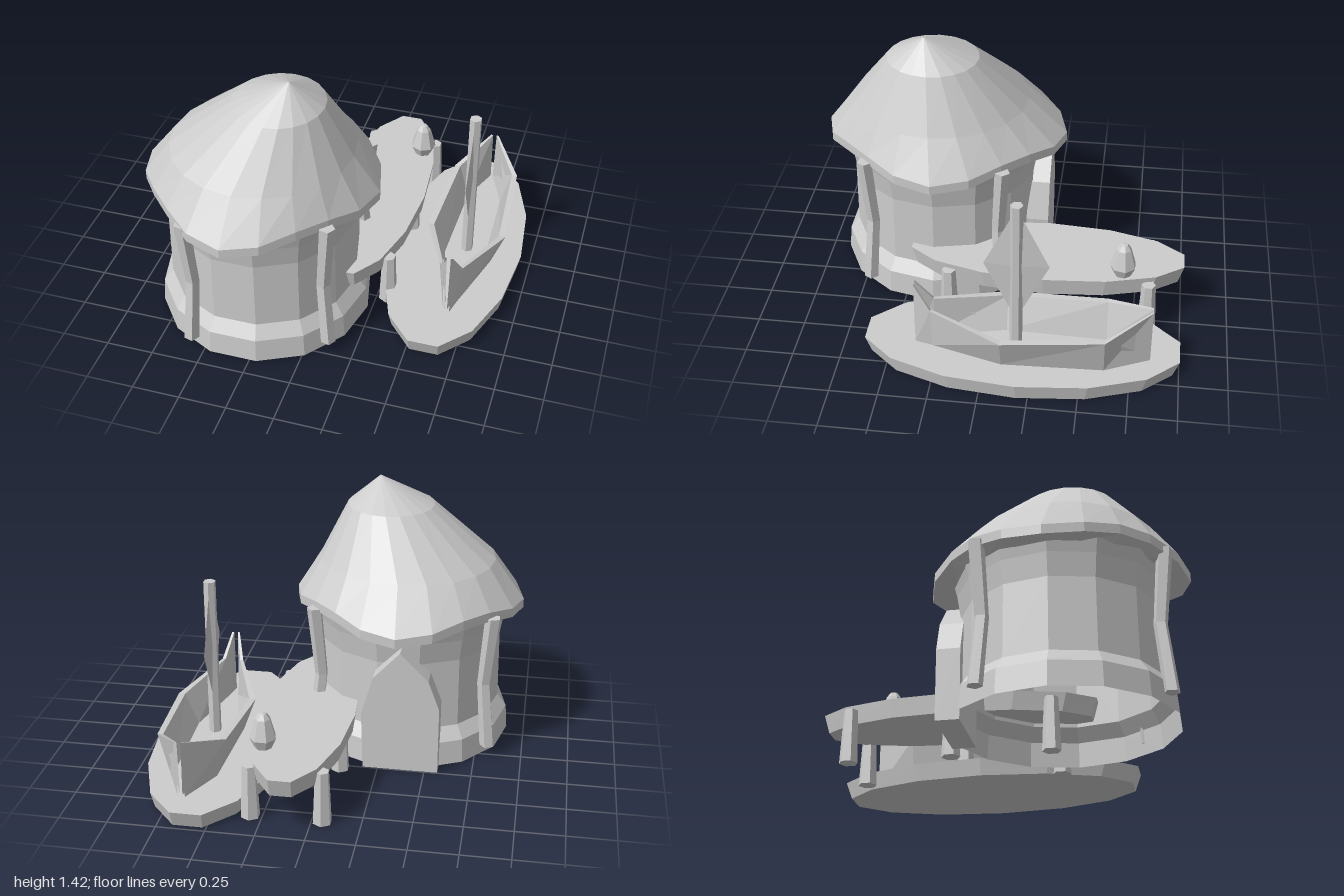
import * as THREE from 'three';

export function createModel() {
  const model = new THREE.Group();
  const clay = new THREE.MeshStandardMaterial({ color: 0xcccccc, flatShading: true, side: THREE.DoubleSide });
  clay.name = 'plain grey';

  const add = (name, geo, x = 0, y = 0, z = 0) => {
    const m = new THREE.Mesh(geo, clay);
    m.name = name;
    m.position.set(x, y, z);
    model.add(m);
    return m;
  };

  // Skin a stack of rings of [x, y, z] points, bottom to top
  const loft = (rings, capBottom = false, capTop = false) => {
    const n = rings[0].length, pos = [], idx = [];
    rings.forEach(r => r.forEach(p => pos.push(...p)));
    for (let k = 0; k < rings.length - 1; k++) {
      for (let i = 0; i < n; i++) {
        const a = k * n + i, b = k * n + (i + 1) % n;
        idx.push(a, b, b + n, a, b + n, a + n);
      }
    }
    const top = (rings.length - 1) * n;
    for (let i = 1; i < n - 1; i++) {
      if (capBottom) idx.push(0, i + 1, i);
      if (capTop) idx.push(top, top + i, top + i + 1);
    }
    const g = new THREE.BufferGeometry();
    g.setAttribute('position', new THREE.Float32BufferAttribute(pos, 3));
    g.setIndex(idx);
    g.computeVertexNormals();
    return g;
  };

  // Elliptical ring; wave shifts radius and height four times around
  const ring = (n, cx, y, cz, rx, rz, phase = 0, waveR = 0, waveY = 0) =>
    Array.from({ length: n }, (_, i) => {
      const a = (i + phase) / n * Math.PI * 2, w = Math.cos(4 * a);
      return [cx + Math.sin(a) * (rx + waveR * w), y - waveY * w, cz + Math.cos(a) * (rz + waveR * w)];
    });

  // Hut wall with a flared foot and top, open underneath
  const hx = -0.34, hz = 0.345;
  const wall = [[0.565, 0], [0.555, 0.13], [0.505, 0.2], [0.5, 0.58], [0.52, 0.7], [0.545, 0.8]];
  add('hutWall', loft(wall.map(([r, y]) => ring(14, hx, y, hz, r, r * 1.015, 0.5))));

  // Thatched roof: leaning cone with a wavy eave and an underside
  add('roof', loft([
    ring(20, hx, 0.75, 0.34, 0.51, 0.52),
    ring(20, hx, 0.77, 0.335, 0.59, 0.628, 0, 0.03, 0.03),
    ring(20, hx, 0.82, 0.335, 0.59, 0.628, 0, 0.03, 0.03),
    ring(20, -0.325, 1.0, 0.36, 0.475, 0.475),
    ring(20, -0.225, 1.28, 0.385, 0.235, 0.245),
    ring(20, -0.16, 1.42, 0.42, 0.001, 0.001),
  ]));

  // Bent posts around the hut
  for (const [dx, dz] of [[-0.23, 0.53], [0.45, 0.36], [0.46, -0.365], [-0.47, -0.345]]) {
    const at = (s, y, r) => ring(5, hx + dx * s, y, hz + dz * s, r, r, 0.3);
    add('hutPost', loft([at(1.01, 0.06, 0.04), at(0.94, 0.42, 0.036), at(1.01, 0.81, 0.042)], true, true));
  }

  // Pointed door slab at the back
  const door = new THREE.Shape([[-0.57, 0], [-0.17, 0], [-0.16, 0.32], [-0.22, 0.53], [-0.36, 0.68], [-0.51, 0.53], [-0.57, 0.37]]
    .map(p => new THREE.Vector2(...p)));
  add('door', new THREE.ExtrudeGeometry(door, { depth: 0.12, bevelEnabled: false }), 0, 0, -0.245);

  // Oval platforms
  const platform = (name, cx, cz, rx, rz, y0, y1) => add(name, loft([
    ring(14, cx, y0, cz, rx * 0.95, rz * 0.96, 0.5),
    ring(14, cx, y1, cz, rx, rz, 0.5),
  ], true, true));
  platform('pier', 0.122, -0.27, 0.255, 0.75, 0.22, 0.32);
  platform('raft', 0.595, -0.187, 0.36, 0.835, 0, 0.09);

  // Pier legs
  for (const x of [-0.055, 0.31])
    for (const z of [-0.82, -0.28, 0.24])
      add('pierLeg', new THREE.CylinderGeometry(0.037, 0.05, 0.29, 6), x, 0.145, z);

  // Bud-shaped marker on the pier
  const bud = [[0, 0.32], [0.045, 0.32], [0.07, 0.375], [0.04, 0.48], [0.02, 0.508], [0, 0.512]];
  add('pierMarker', new THREE.LatheGeometry(bud.map(p => new THREE.Vector2(...p)), 7), 0.268, 0, -0.68);

  // Boat hull with thick sides: z, sheer height, outer half widths at sheer and keel, wall thickness
  const stations = [
    [0.36, 0.46, 0.022, 0.018, 0.012], [0.27, 0.33, 0.06, 0.04, 0.018], [-0.1, 0.28, 0.215, 0.145, 0.035],
    [-0.62, 0.31, 0.18, 0.125, 0.03], [-0.85, 0.4, 0.022, 0.018, 0.012],
  ];
  const bx = 0.655;
  add('boatHull', loft(stations.map(([z, y, w, f, t]) => [
    [bx - w, y, z], [bx - f, 0.092, z], [bx + f, 0.092, z], [bx + w, y, z],
    [bx + w - t, y, z], [bx + f - t, 0.105, z], [bx - f + t, 0.105, z], [bx - w + t, y, z],
  ])));

  // Mast and diamond sail
  add('mast', new THREE.CylinderGeometry(0.033, 0.033, 0.89, 6), bx, 0.535, -0.16);
  const sail = add('sail', new THREE.OctahedronGeometry(1), bx, 0.62, -0.16);
  sail.scale.set(0.012, 0.34, 0.165);

  return model;
}
